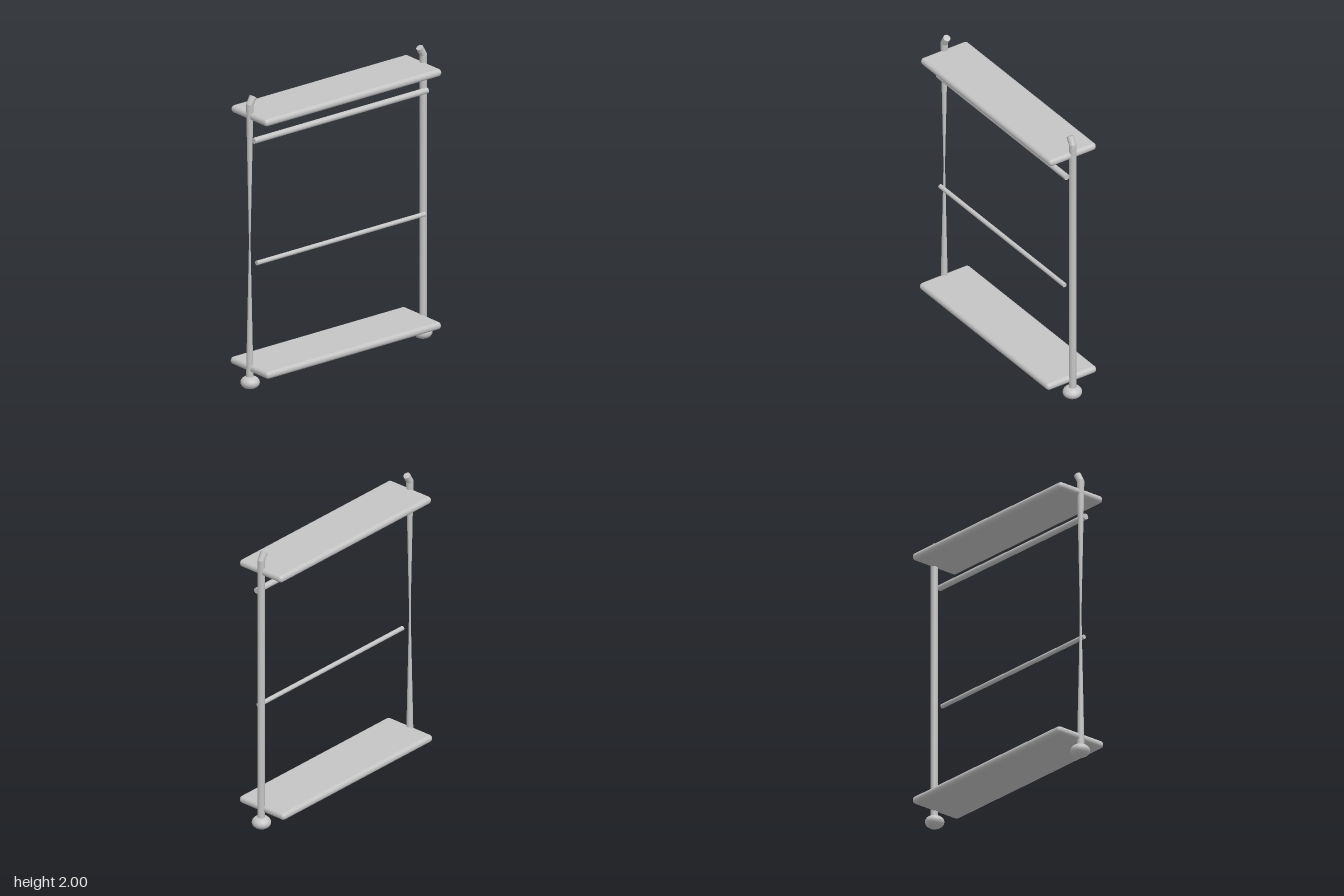
import * as THREE from 'three';
import { RoundedBoxGeometry } from 'three/addons/geometries/RoundedBoxGeometry.js';

// Tube skinned through rings [x, y, radius, tilt], with a flat cap on the last ring
function loft(rings, sides = 16) {
  const pos = [], idx = [];
  const addRing = ([x, y, r, t]) => {
    for (let i = 0; i <= sides; i++) {
      const a = (i / sides) * Math.PI * 2, c = r * Math.cos(a);
      pos.push(x + c * Math.cos(t), y + c * Math.sin(t), r * Math.sin(a));
    }
  };
  rings.forEach(addRing);
  const n = sides + 1;
  for (let k = 0; k < rings.length - 1; k++) {
    for (let i = 0; i < sides; i++) {
      const p = k * n + i, q = p + n;
      idx.push(p, q, p + 1, p + 1, q, q + 1);
    }
  }
  const end = rings[rings.length - 1], base = pos.length / 3;
  addRing(end);
  pos.push(end[0], end[1], 0);
  for (let i = 0; i < sides; i++) idx.push(base + n, base + i + 1, base + i);
  const g = new THREE.BufferGeometry();
  g.setAttribute('position', new THREE.Float32BufferAttribute(pos, 3));
  g.setIndex(idx);
  g.computeVertexNormals();
  return g;
}

export function createModel() {
  const group = new THREE.Group();
  const metal = new THREE.MeshStandardMaterial({ color: 0xc4c4c4, side: THREE.DoubleSide });
  metal.name = 'lightGrey';

  const add = (name, geometry, x = 0, y = 0, z = 0) => {
    const mesh = new THREE.Mesh(geometry, metal);
    mesh.name = name;
    mesh.position.set(x, y, z);
    group.add(mesh);
    return mesh;
  };

  // Shelves with rounded rims
  add('upperShelf', new RoundedBoxGeometry(1.454, 0.05, 0.364, 4, 0.024), 0, 1.857, 0);
  add('lowerShelf', new RoundedBoxGeometry(1.44, 0.05, 0.386, 4, 0.024), -0.005, 0.139, 0);

  // Hanging rails in front of the posts
  const rail = (name, radius, length, y, z) =>
    add(name, new THREE.CylinderGeometry(radius, radius, length, 16), -0.002, y, z).rotation.z = Math.PI / 2;
  rail('upperRail', 0.02, 1.428, 1.7, 0.042);
  rail('middleRail', 0.015, 1.386, 0.863, 0.045);

  // Posts with inward bent tips and flattened ball feet
  for (const side of [-1, 1]) {
    const label = side > 0 ? 'left' : 'right';
    const x = side * 0.714, r = 0.024, bend = side * Math.PI / 6;
    const mitre = [x, 1.935, r, bend / 2];
    const rings = [[x, 0.06, r, 0], mitre];
    // The right post is pinched to a thin waist halfway up
    if (side < 0) rings.splice(1, 0, [x, 0.96, 0.006, 0], [x, 1.04, 0.006, 0]);
    add(label + 'Post', loft(rings));
    add(label + 'PostTip', loft([mitre, [side * 0.685, 1.986, r, bend]]));
    add(label + 'Foot', new THREE.SphereGeometry(1, 24, 16), side * 0.711, 0.043, 0)
      .scale.set(0.062, 0.043, 0.063);
  }
  return group;
}
